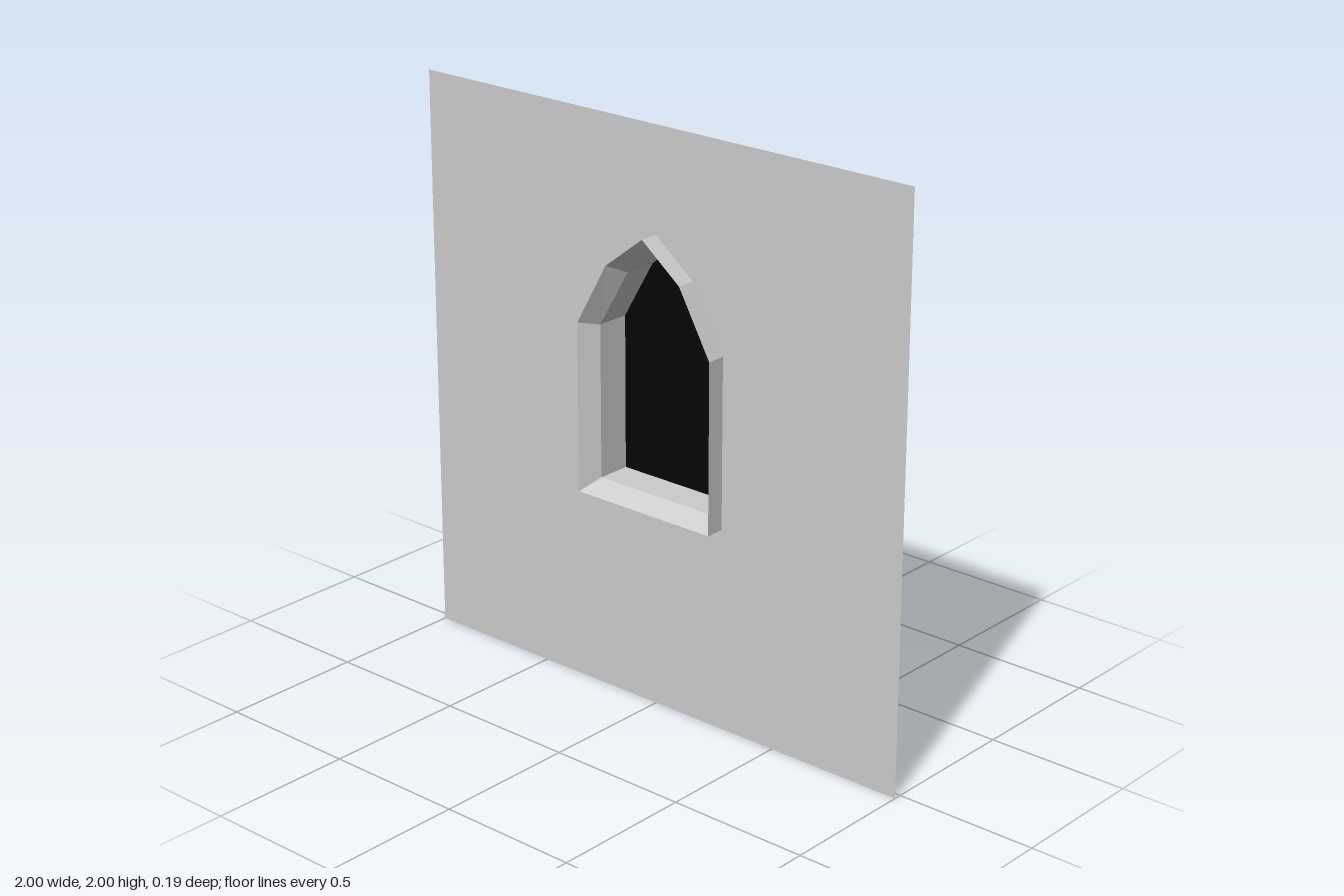
import * as THREE from 'three';

const grey = new THREE.MeshStandardMaterial({ color: 0xcccccc, flatShading: true, side: THREE.DoubleSide });
const black = new THREE.MeshStandardMaterial({ color: 0x050505, side: THREE.DoubleSide });

// Full pointed-arch outline, anticlockwise from the front, from its right half
function archOutline(half) {
  const mirrored = half.slice(0, -1).reverse().map(([x, y]) => [-x, y]);
  return [...half, ...mirrored].map(([x, y]) => new THREE.Vector2(x, y));
}

// Strip of flat quads joining outline a at depth za to outline b at depth zb
function band(a, za, b, zb) {
  const pos = [];
  a.forEach((p, i) => {
    const j = (i + 1) % a.length;
    const A = [p.x, p.y, za], B = [a[j].x, a[j].y, za];
    const C = [b[j].x, b[j].y, zb], D = [b[i].x, b[i].y, zb];
    pos.push(...A, ...B, ...C, ...A, ...C, ...D);
  });
  const geo = new THREE.BufferGeometry();
  geo.setAttribute('position', new THREE.Float32BufferAttribute(pos, 3));
  geo.computeVertexNormals();
  return geo;
}

export function createModel() {
  const model = new THREE.Group();
  const add = (name, geometry, material = grey) => {
    const mesh = new THREE.Mesh(geometry, material);
    mesh.name = name;
    model.add(mesh);
    return mesh;
  };

  const outer = archOutline([[0.28, 0.71], [0.28, 1.3], [0.155, 1.52], [0, 1.64]]);
  const inner = archOutline([[0.24, 0.75], [0.24, 1.285], [0.12, 1.49], [0, 1.585]]);
  const frontZ = 0.093, wallZ = 0.027, backZ = -0.093;

  // Thin square wall with the arched opening
  const wall = new THREE.Shape([[-1, 0], [1, 0], [1, 2], [-1, 2]].map(([x, y]) => new THREE.Vector2(x, y)));
  wall.holes.push(new THREE.Path(outer.slice().reverse()));
  add('wall', new THREE.ShapeGeometry(wall)).position.z = wallZ;

  // Raised surround: outer rim standing off the wall, then a bevel sloping inwards
  add('frameRim', band(outer, wallZ, outer, frontZ));
  add('frameBevel', band(outer, frontZ, inner, wallZ));

  // Deep reveal behind the wall, closed by the dark pane
  add('windowReveal', band(inner, wallZ, inner, backZ));
  add('windowPane', new THREE.ShapeGeometry(new THREE.Shape(inner)), black).position.z = backZ;

  return model;
}
